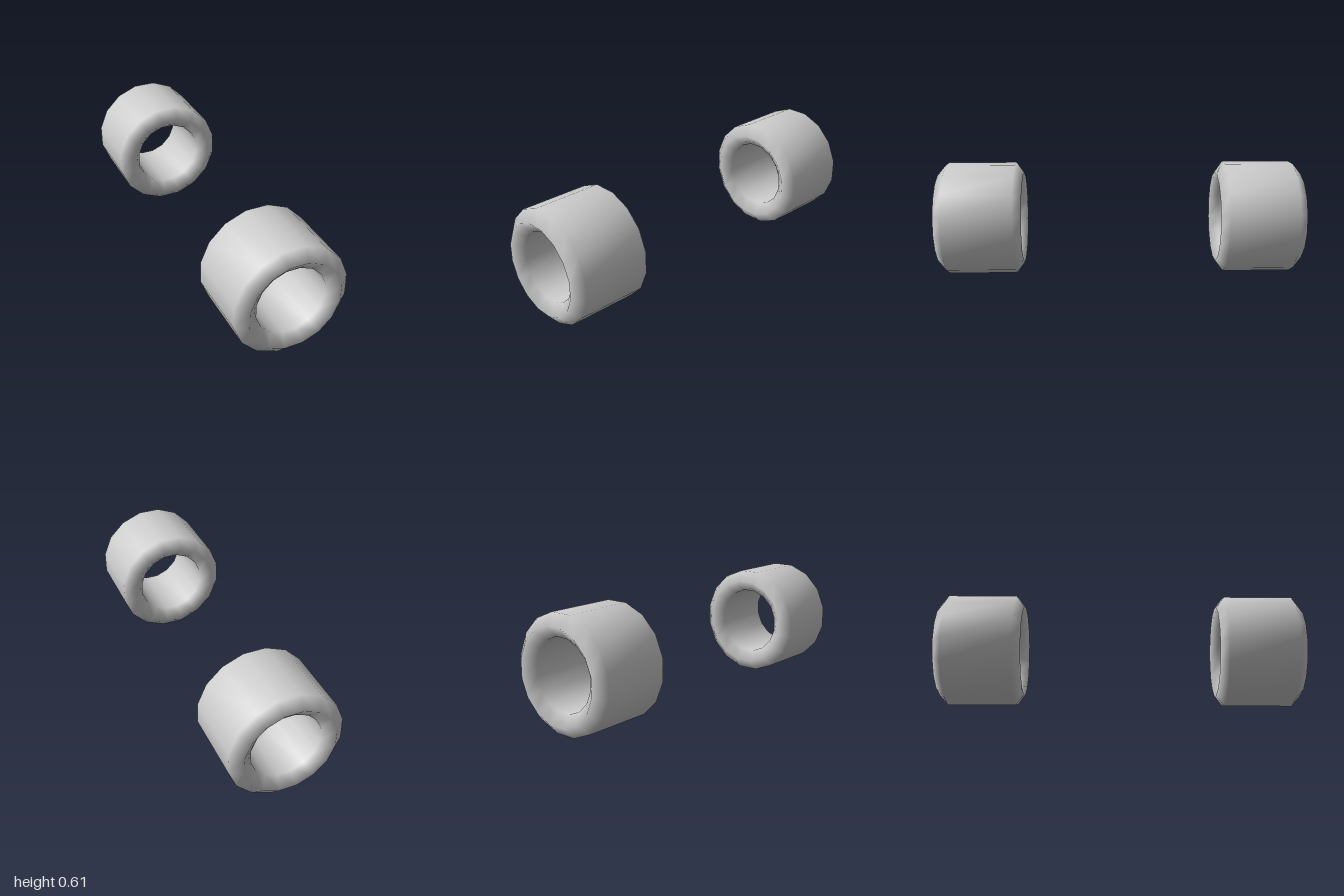
import * as THREE from 'three';
import { mergeVertices } from 'three/addons/utils/BufferGeometryUtils.js';

const SIDES = 16;
const OUTER = 0.3085, INNER = 0.1895, RIDGE = 0.249;
const NEAR = 0.533, FAR = 1.0; // distances of the two ends from the centre

// Hollow sleeve along z: six-sided wall section, spun and smoothed all over
function sleeveGeometry() {
  const profile = [
    [RIDGE, NEAR], [OUTER, NEAR + 0.043], [OUTER, FAR - 0.05],
    [RIDGE, FAR], [INNER, FAR - 0.05], [INNER, NEAR + 0.043], [RIDGE, NEAR],
  ].map(([r, z]) => new THREE.Vector2(r, z));
  const lathe = new THREE.LatheGeometry(profile, SIDES, Math.PI / SIDES);
  lathe.deleteAttribute('normal');
  lathe.deleteAttribute('uv');
  const geometry = mergeVertices(lathe, 1e-4);
  geometry.rotateX(Math.PI / 2);
  geometry.computeVertexNormals();
  return geometry;
}

export function createModel() {
  const group = new THREE.Group();
  group.name = 'sleevePair';
  const material = new THREE.MeshStandardMaterial({ color: 0xcccccc });
  const geometry = sleeveGeometry();

  // Front sleeve, and the same sleeve turned half round for the back
  for (const [name, side] of [['frontSleeve', 1], ['backSleeve', -1]]) {
    const sleeve = new THREE.Mesh(geometry, material);
    sleeve.name = name;
    sleeve.position.set(0.003 * side, OUTER * Math.cos(Math.PI / SIDES), 0);
    sleeve.rotation.y = side > 0 ? 0 : Math.PI;
    group.add(sleeve);
  }
  return group;
}
